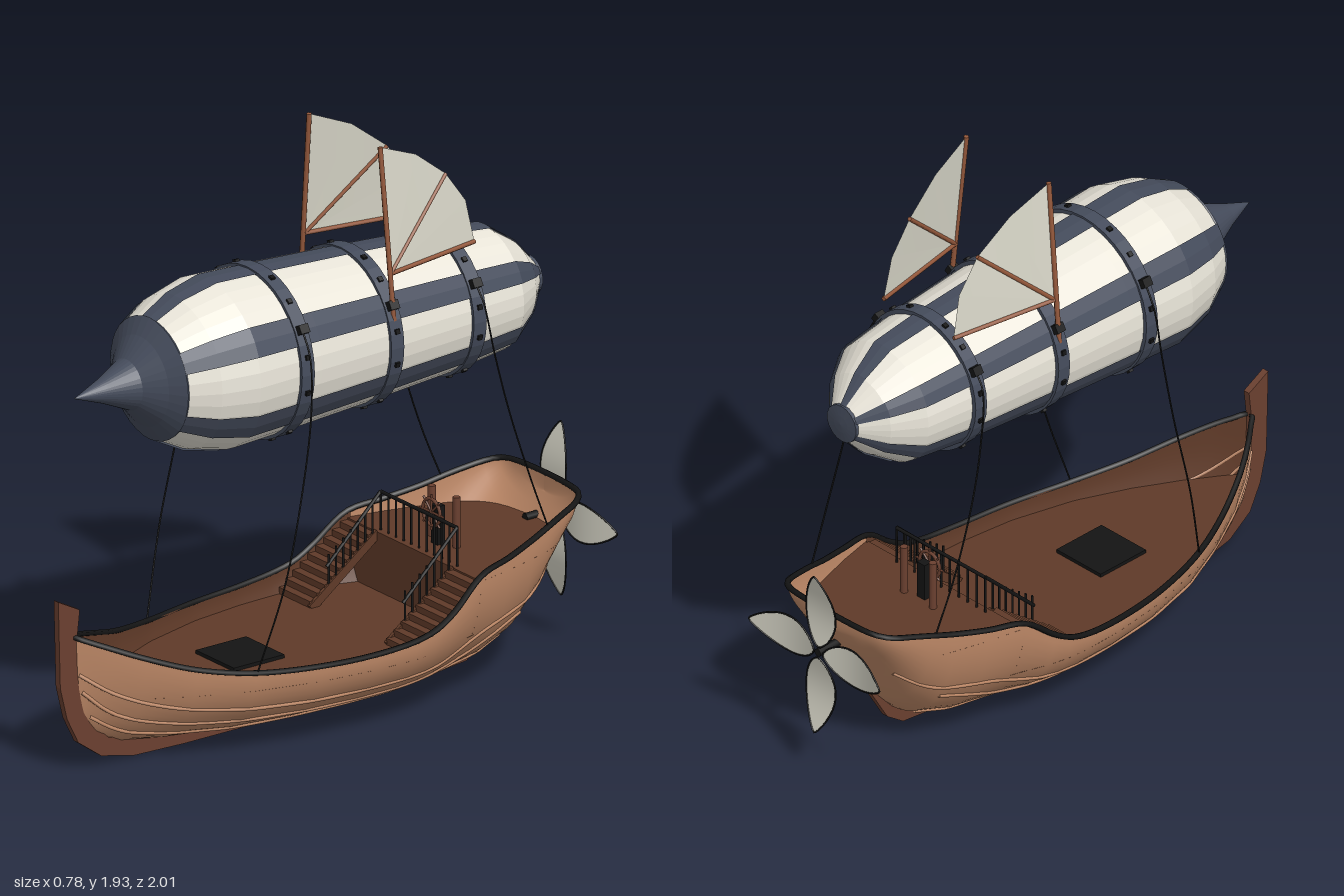
import * as THREE from 'three';

const paint = (color, flatShading = false) =>
  new THREE.MeshStandardMaterial({ color, flatShading, side: THREE.DoubleSide });
const M = {
  hull: paint(0xc08a68), wood: paint(0x5f3a28), stem: paint(0x6b4030), spar: paint(0x96593c),
  black: paint(0x141414), cloth: paint(0xe8e4d8, true), slate: paint(0x454c5c, true), sail: paint(0xd8d6c8),
};
const V = (x, y, z) => new THREE.Vector3(x, y, z);

function add(parent, name, geo, mat) {
  const mesh = new THREE.Mesh(geo, mat);
  mesh.name = name;
  parent.add(mesh);
  return mesh;
}
function box(parent, name, mat, w, h, d, x, y, z) {
  const mesh = add(parent, name, new THREE.BoxGeometry(w, h, d), mat);
  mesh.position.set(x, y, z);
  return mesh;
}
function bar(parent, name, mat, a, b, r, sides = 6) {
  const mesh = add(parent, name, new THREE.CylinderGeometry(r, r, a.distanceTo(b), sides), mat);
  mesh.position.copy(a).lerp(b, 0.5);
  mesh.quaternion.setFromUnitVectors(V(0, 1, 0), b.clone().sub(a).normalize());
  return mesh;
}
function tube(parent, name, mat, pts, r, n = 60, closed = false) {
  const path = new THREE.CatmullRomCurve3(pts, closed, 'centripetal');
  return add(parent, name, new THREE.TubeGeometry(path, n, r, 6, closed), mat);
}
// Surface through rows of points
function loft(rows) {
  const n = rows[0].length, idx = [];
  for (let i = 0; i < rows.length - 1; i++)
    for (let j = 0; j < n - 1; j++) {
      const a = i * n + j, b = a + n;
      idx.push(a, b, a + 1, b, b + 1, a + 1);
    }
  const geo = new THREE.BufferGeometry().setFromPoints(rows.flat());
  geo.setIndex(idx);
  geo.computeVertexNormals();
  return geo;
}

// Hull stations: z, half width, gunwale height, bottom height
const ST = [
  [0.935, 0.006, 0.46, 0.25], [0.9, 0.035, 0.445, 0.16], [0.85, 0.075, 0.425, 0.11], [0.75, 0.14, 0.385, 0.065],
  [0.6, 0.215, 0.335, 0.045], [0.42, 0.287, 0.305, 0.04], [0.2, 0.345, 0.296, 0.04], [0, 0.37, 0.297, 0.04],
  [-0.15, 0.378, 0.31, 0.04], [-0.23, 0.376, 0.33, 0.04], [-0.3, 0.372, 0.37, 0.04], [-0.42, 0.355, 0.46, 0.045],
  [-0.55, 0.328, 0.483, 0.06], [-0.67, 0.297, 0.508, 0.1], [-0.75, 0.277, 0.53, 0.19], [-0.82, 0.257, 0.548, 0.31],
  [-0.88, 0.237, 0.562, 0.41], [-0.915, 0.21, 0.572, 0.47], [-0.933, 0.165, 0.577, 0.515], [-0.936, 0, 0.577, 0.52],
];
function station(z) {
  let i = 0;
  while (i < ST.length - 2 && ST[i + 1][0] > z) i++;
  const t = (ST[i][0] - z) / (ST[i][0] - ST[i + 1][0]);
  return ST[i].map((v, k) => v + (ST[i + 1][k] - v) * t);
}
const fullness = z => 1 + Math.max(0, z - 0.4) * 1.2;
function halfWidth(z, y) {
  const [, w, t, b] = station(z);
  const s = THREE.MathUtils.clamp((y - b) / (t - b), 0, 1);
  return w * Math.pow(Math.sin(Math.acos(1 - s)), fullness(z));
}
const range = (a, b, n) => Array.from({ length: n + 1 }, (_, i) => a + ((b - a) * i) / n);

function buildHull() {
  const g = new THREE.Group();
  g.name = 'ship';
  add(g, 'hull', loft(ST.map(([z, w, t, b]) => range(-1, 1, 32).map(u => {
    const a = Math.abs(u) * Math.PI / 2;
    return V(Math.sign(u) * w * Math.pow(Math.sin(a), fullness(z)), b + (t - b) * (1 - Math.cos(a)), z);
  }))), M.hull);

  // Decks, step between them and inner planking
  const deck = (name, y, z0, z1) => add(g, name, loft(range(z0, z1, 40).map(z => {
    const w = halfWidth(z, y);
    return [V(-w, y, z), V(w, y, z)];
  })), M.wood);
  deck('mainDeck', 0.24, 0.93, -0.43);
  deck('quarterDeck', 0.44, -0.42, -0.897);
  add(g, 'bulkhead', loft(range(0.24, 0.44, 6).map(y => {
    const w = halfWidth(-0.42, y);
    return [V(-w, y, -0.42), V(w, y, -0.42)];
  })), M.wood);
  for (const s of [-1, 1])
    add(g, 'bulwarkLining', loft(range(0.925, -0.43, 50).map(z => {
      const top = station(z)[2];
      return range(0.24, top, 4).map(y => V(s * Math.max(0, halfWidth(z, y) - 0.006), y, z));
    })), M.wood);
  box(g, 'hatch', M.black, 0.2, 0.012, 0.2, 0, 0.246, 0.27);

  // Gunwale around the rim, and strakes along the sides
  const rim = ST.slice(0, -1).map(([z, w, t]) => V(w, t, z));
  tube(g, 'gunwale', M.black, [...rim, ...rim.map(p => V(-p.x, p.y, p.z)).reverse()], 0.01, 160, true);
  const strakes = [
    [[0.92, 0.33], [0.8, 0.25], [0.6, 0.19], [0.3, 0.165], [-0.2, 0.165], [-0.35, 0.19], [-0.5, 0.245], [-0.7, 0.29], [-0.82, 0.37]],
    [[0.91, 0.27], [0.8, 0.18], [0.6, 0.13], [0.3, 0.115], [-0.2, 0.115], [-0.4, 0.14], [-0.55, 0.2], [-0.67, 0.24]],
    [[0.88, 0.18], [0.75, 0.11], [0.5, 0.08], [0, 0.075], [-0.4, 0.08], [-0.67, 0.13]],
  ];
  for (const s of [-1, 1])
    for (const line of strakes) {
      const side = new THREE.SplineCurve(line.map(p => new THREE.Vector2(...p))).getPoints(30);
      tube(g, 'strake', M.hull, side.map(p => V(s * halfWidth(p.x, p.y), p.y, p.x)), 0.007);
    }

  // Stem, keel and sternpost in one thin plate
  const plate = new THREE.Shape([
    [1, 0.595], [0.992, 0.3], [0.965, 0.19], [0.92, 0.1], [0.83, 0.035], [0.7, 0.006], [0.5, 0], [-0.45, 0], [-0.62, 0.02],
    [-0.69, 0.07], [-0.815, 0.28], [-0.78, 0.28], [-0.66, 0.12], [-0.5, 0.07], [0.6, 0.06], [0.8, 0.09], [0.88, 0.17],
    [0.92, 0.3], [0.925, 0.46], [0.915, 0.55],
  ].map(p => new THREE.Vector2(...p)));
  const keel = new THREE.ExtrudeGeometry(plate, { depth: 0.024, bevelEnabled: false });
  add(g, 'stemAndKeel', keel.translate(0, 0, -0.012).rotateY(-Math.PI / 2), M.stem);

  // Stairs with railings on both sides, railing across the quarterdeck
  const steps = 9;
  for (const s of [-1, 1]) {
    for (let i = 0; i < steps; i++) {
      const z = -0.175 - i * 0.029, y = 0.262 + i * 0.0215;
      const w = halfWidth(z, y) - 0.008 - 0.2;
      box(g, 'stairStep', M.wood, w, 0.022, 0.034, s * (0.2 + w / 2), y - 0.011, z);
      if (i > 1) bar(g, 'stairBaluster', M.black, V(s * 0.2, y - 0.01, z), V(s * 0.2, y + 0.1, z), 0.004);
    }
    box(g, 'stairStringer', M.wood, 0.012, 0.03, 0.33, s * 0.2, 0.335, -0.295).rotation.x = 0.638;
    bar(g, 'stairHandrail', M.black, V(s * 0.2, 0.365, -0.225), V(s * 0.2, 0.572, -0.44), 0.006);
  }
  bar(g, 'deckHandrail', M.black, V(-0.2, 0.57, -0.44), V(0.2, 0.57, -0.44), 0.006);
  for (const x of range(-0.2, 0.2, 10)) bar(g, 'deckBaluster', M.black, V(x, 0.44, -0.44), V(x, 0.57, -0.44), 0.004);

  // Helm
  add(g, 'steeringWheel', new THREE.TorusGeometry(0.045, 0.006, 6, 20), M.stem).position.set(0, 0.55, -0.49);
  for (let i = 0; i < 4; i++) {
    const a = i * Math.PI / 4, d = V(Math.cos(a) * 0.06, Math.sin(a) * 0.06, 0), c = V(0, 0.55, -0.49);
    bar(g, 'wheelSpoke', M.stem, c.clone().sub(d), c.clone().add(d), 0.004);
  }
  box(g, 'helmStand', M.black, 0.035, 0.13, 0.03, 0, 0.505, -0.515);
  for (const s of [-1, 1]) bar(g, 'deckPost', M.stem, V(s * 0.065, 0.44, -0.54), V(s * 0.065, 0.61, -0.54), 0.013, 10);
  return g;
}

function buildPropeller() {
  const g = new THREE.Group();
  g.name = 'propeller';
  g.position.set(0, 0.445, 0);
  bar(g, 'propellerShaft', M.black, V(0, 0, -0.86), V(0, 0, -0.988), 0.014, 12);
  const point = (u, v) => V(v * 0.066 * Math.pow(Math.sin(Math.PI * Math.pow(u, 0.85)), 0.75),
    0.02 + u * 0.275, -0.985 + 0.015 * Math.sin(u * Math.PI * 1.1) - 0.014 * u * u);
  for (let i = 0; i < 4; i++) {
    const blade = new THREE.Group();
    blade.name = 'blade';
    blade.rotation.z = i * Math.PI / 2;
    g.add(blade);
    add(blade, 'bladeLeaf', loft(range(0, 1, 20).map(u => range(-1, 1, 4).map(v => point(u, v)))), M.sail);
    const edge = range(0, 1, 16);
    tube(blade, 'bladeRim', M.black, [...edge.map(u => point(u, 1)), ...edge.slice(1, -1).reverse().map(u => point(u, -1))], 0.003, 64, true);
  }
  return g;
}

function buildBalloon() {
  const g = new THREE.Group();
  g.name = 'balloon';
  g.position.y = 1.265;
  const P = [[0.055, -0.88], [0.14, -0.8], [0.208, -0.7], [0.231, -0.5], [0.255, -0.15], [0.272, 0.15], [0.283, 0.4], [0.252, 0.53], [0.2, 0.63]];
  const lathe = (pts, segs, start = 0, len = Math.PI * 2) =>
    new THREE.LatheGeometry(pts.map(p => new THREE.Vector2(...p)), segs, start, len).rotateX(Math.PI / 2);
  const radius = z => {
    const i = P.findIndex(p => p[1] >= z);
    return THREE.MathUtils.mapLinear(z, P[i - 1][1], P[i][1], P[i - 1][0], P[i][0]);
  };
  add(g, 'envelope', lathe(P, 36), M.cloth);
  const step = Math.PI / 18;
  for (let k = 0; k < 6; k++)
    add(g, 'rib', lathe([P[0], ...P.map(([r, z]) => [r + 0.006, z]), P[P.length - 1]], 2, k * Math.PI / 3 - step, step * 2), M.slate);
  add(g, 'noseCone', lathe([[0.2, 0.615], [0.205, 0.63], [0.15, 0.665], [0.085, 0.72], [0.04, 0.82], [0, 0.93]], 36), M.slate);
  add(g, 'tailCap', lathe([[0.066, -0.865], [0.066, -0.882], [0.03, -0.886], [0, -0.888]], 18), M.slate);

  // Hoops with studs and rigging blocks
  for (const z of [0.215, -0.155, -0.5]) {
    const r = radius(z);
    add(g, 'hoop', lathe([[r - 0.01, z - 0.025], [r + 0.012, z - 0.025], [r + 0.012, z + 0.025], [r - 0.01, z + 0.025]], 36), M.slate);
    for (const s of [-1, 1]) {
      for (const deg of [-71, -50, -12, 12, 50, 71]) {
        const a = deg * Math.PI / 180;
        box(g, 'stud', M.black, 0.012, 0.016, 0.016, s * (r + 0.013) * Math.cos(a), (r + 0.013) * Math.sin(a), z).rotation.z = s * a;
      }
      box(g, 'riggingBlock', M.black, 0.03, 0.03, 0.035, s * (r + 0.018) * 0.866, (r + 0.018) * 0.5, z).rotation.z = s * Math.PI / 6;
    }
  }
  return g;
}

function buildSail(s) {
  const g = new THREE.Group();
  g.name = s > 0 ? 'leftSail' : 'rightSail';
  const pivot = V(s * 0.225, 1.505, -0.157);
  const edge = [[0.186, 1.925, -0.145], [0.168, 1.86, -0.3], [0.153, 1.76, -0.43], [0.152, 1.65, -0.51], [0.158, 1.505, -0.54]]
    .map(([x, y, z]) => V(s * x, y, z));
  add(g, 'sailCloth', loft(edge.map(p => [pivot, p])), M.sail);
  bar(g, 'sailMast', M.spar, V(s * 0.25, 1.29, -0.157), edge[0], 0.009);
  bar(g, 'sailStrut', M.spar, pivot, edge[2], 0.007);
  bar(g, 'sailBoom', M.spar, pivot, edge[4], 0.008);
  return g;
}

export function createModel() {
  const model = new THREE.Group();
  model.name = 'airship';
  model.add(buildHull(), buildPropeller(), buildBalloon());
  for (const s of [-1, 1]) {
    model.add(buildSail(s));
    // Suspension ropes
    tube(model, 'frontRope', M.black, [[0.255, 1.41, 0.215], [0.295, 1.33, 0.215], [0.318, 1.15, 0.228], [0.328, 0.9, 0.27],
      [0.33, 0.6, 0.34], [0.29, 0.305, 0.42]].map(([x, y, z]) => V(s * x, y, z)), 0.003);
    tube(model, 'rearRope', M.black, [[0.22, 1.39, -0.5], [0.255, 1.33, -0.505], [0.275, 1.15, -0.535], [0.285, 0.95, -0.585],
      [0.287, 0.7, -0.67], [0.28, 0.528, -0.74]].map(([x, y, z]) => V(s * x, y, z)), 0.003);
  }
  return model;
}
